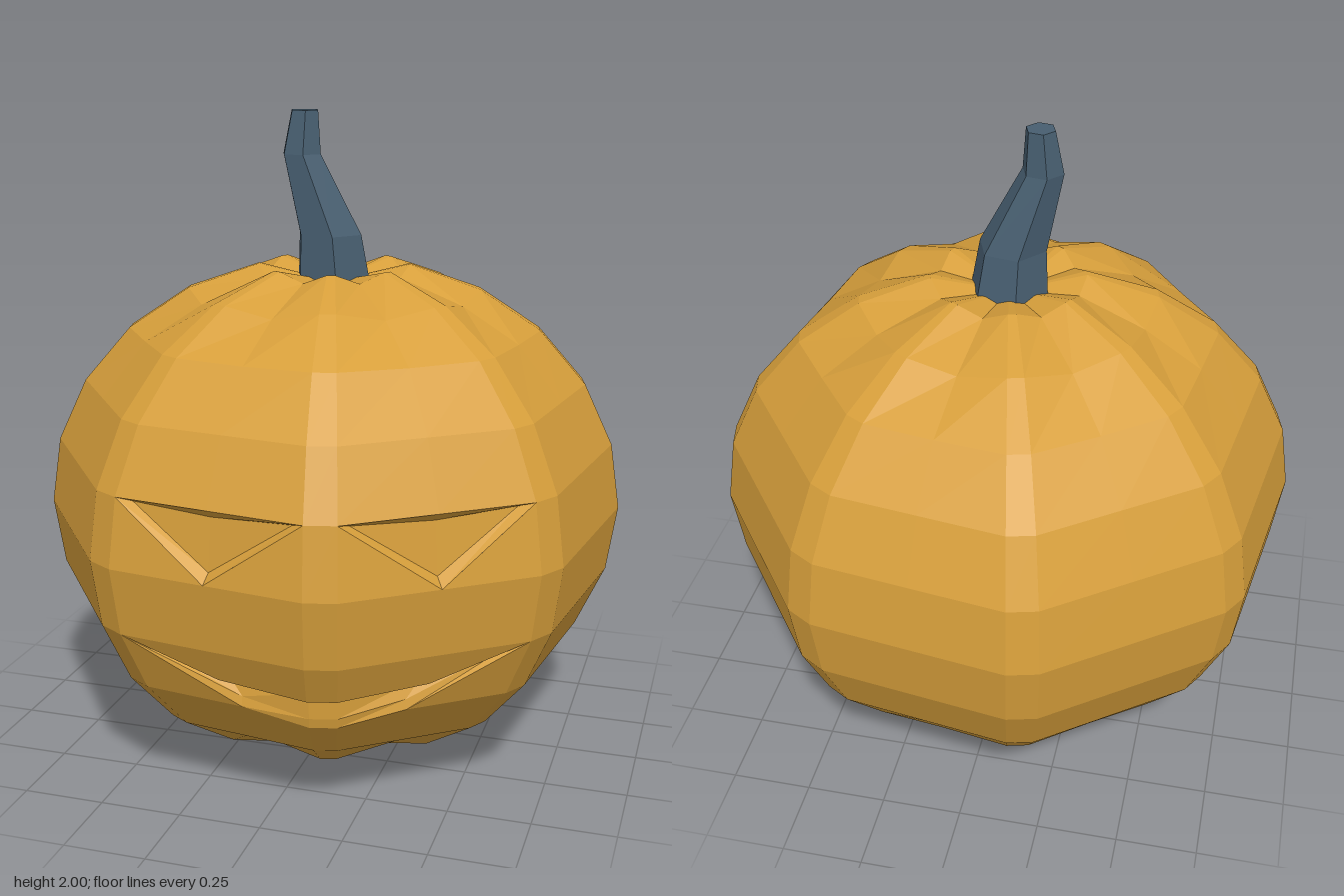
import * as THREE from 'three';

const rad = THREE.MathUtils.degToRad;
const lerp = THREE.MathUtils.lerp;

// body rings from bottom pole (0) to top pole (12): radius, height, dip of the valley between ribs
const RINGS = [
  [0, 0.055, 0], [0.234, 0, 0.03], [0.4525, 0.08, 0.028], [0.64, 0.205, 0.004],
  [0.784, 0.372, 0], [0.874, 0.564, 0], [0.905, 0.77, 0], [0.874, 0.976, 0],
  [0.784, 1.168, 0], [0.64, 1.335, -0.004], [0.4525, 1.46, -0.028], [0.234, 1.535, -0.03], [0, 1.48, 0],
];

// s counts rib edges around the body (even to odd = wide panel, odd to even = narrow rib),
// v counts rings upwards, k scales the point towards the axis
function point(s, v, k = 1) {
  const ring = Math.min(Math.floor(v), 11);
  const [r, y, dip] = RINGS[ring].map((n, i) => lerp(n, RINGS[ring + 1][i], v - ring));
  const i = Math.floor(s), f = s - i;
  const edge = (n) => {
    const a = rad(117.6 - 45 * Math.floor(n / 2) - (n % 2 ? 39 : 0));
    return new THREE.Vector3(r * k * Math.cos(a), y, r * k * Math.sin(a));
  };
  const p = edge(i).lerp(edge(i + 1), f);
  if (i % 2 === 0) p.y += dip * (1 - Math.abs(2 * f - 1));
  return p;
}

// collects flat polygons given as [s, v, k] corners, anticlockwise from outside
function polygonBuilder() {
  const positions = [];
  const add = (...corners) => {
    const p = corners.map((c) => point(...c));
    for (let i = 1; i < p.length - 1; i++) {
      const tri = new THREE.Triangle(p[0], p[i], p[i + 1]);
      if (tri.getArea() > 1e-7) for (const q of [p[0], p[i], p[i + 1]]) positions.push(q.x, q.y, q.z);
    }
  };
  const build = () => {
    const g = new THREE.BufferGeometry();
    g.setAttribute('position', new THREE.Float32BufferAttribute(positions, 3));
    g.computeVertexNormals();
    return g;
  };
  return { add, build };
}

function bodyGeometry() {
  const { add, build } = polygonBuilder();
  for (let s = 0; s < 16; s++) {
    const wide = s % 2 === 0;
    for (let v = 0; v < 12; v++) {
      const mouthCell = s < 3 && (v === 3 || v === 4);
      const eyeCell = (s === 0 || s === 2) && v === 6;
      if (mouthCell || eyeCell) continue;
      const cuts = wide ? [s, s + 0.5, s + 1] : [s, s + 1];
      for (let c = 0; c < cuts.length - 1; c++) {
        const a = cuts[c], b = cuts[c + 1];
        add([a, v], [b, v], [b, v + 1], [a, v + 1]);
      }
    }
  }
  // skin around the eyes
  for (const s of [0, 2]) {
    add([s, 6], [s + 0.5, 6], [s, 7]);
    add([s + 0.5, 6], [s + 1, 6], [s + 1, 7]);
  }
  // skin around the mouth, mirrored onto the second panel
  const skin = [
    [[1, 5], [0, 5], [0.5, 4.46], [1, 4.37]],
    [[0, 4], [0.6, 4], [0, 5]],
    [[0, 3], [1, 3], [1, 3.76], [0.6, 4], [0, 4]],
  ];
  for (const poly of skin) {
    add(...poly);
    add(...poly.map(([s, v]) => [3 - s, v]).reverse());
  }
  add([1, 4.37], [2, 4.37], [2, 5], [1, 5]);
  add([1, 3], [2, 3], [2, 3.76], [1, 3.76]);
  return build();
}

// recess between an upper and a lower rim, with sloping walls and a floor
function carving(upper, lower, upperIn, lowerIn) {
  const { add, build } = polygonBuilder();
  for (let i = 0; i < upper.length - 1; i++) {
    const j = i + 1;
    add(upper[j], upper[i], upperIn[i], upperIn[j]);
    add(lower[i], lower[j], lowerIn[j], lowerIn[i]);
    add(lowerIn[i], lowerIn[j], upperIn[j], upperIn[i]);
  }
  return build();
}

function eyeGeometry(s) {
  const left = [s + 0.06, 6.94, 0.968], right = [s + 0.94, 6.94, 0.968];
  return carving(
    [[s, 7], [s + 0.5, 7], [s + 0.9999, 7]],
    [[s, 7], [s + 0.5, 6], [s + 0.9999, 7]],
    [left, [s + 0.5, 6.88, 0.965], right],
    [left, [s + 0.5, 6.13, 0.965], right],
  );
}

function mouthGeometry() {
  const mirror = (half) => [...half, ...half.map(([s, v, k]) => [3 - s, v, k]).reverse()];
  const corner = [0.08, 4.9, 0.97];
  return carving(
    mirror([[0, 5], [0.5, 4.46], [1, 4.37]]),
    mirror([[0, 5], [0.6, 4], [1, 3.76]]),
    mirror([corner, [0.5, 4.45, 0.93], [1, 4.36, 0.93]]),
    mirror([corner, [0.6, 4.15, 0.975], [1, 3.94, 0.975]]),
  );
}

// bent, tapering six-sided stem
function stemGeometry() {
  const sections = [ // x, y, z, radius
    [0, 1.47, 0, 0.125], [-0.01, 1.63, 0.01, 0.106],
    [-0.095, 1.87, 0.025, 0.064], [-0.087, 2, 0.02, 0.045],
  ];
  const g = new THREE.CylinderGeometry(1, 1, 3, 6, 3, false, rad(20));
  const pos = g.attributes.position;
  for (let i = 0; i < pos.count; i++) {
    const [x, y, z, r] = sections[Math.round(pos.getY(i) + 1.5)];
    pos.setXYZ(i, x + pos.getX(i) * r, y, z + pos.getZ(i) * r);
  }
  g.computeVertexNormals();
  return g;
}

export function createModel() {
  const orange = new THREE.MeshStandardMaterial({ color: 0xd79f3b, flatShading: true });
  orange.name = 'pumpkin orange';
  const slate = new THREE.MeshStandardMaterial({ color: 0x475e70, flatShading: true });
  slate.name = 'stem slate';

  const group = new THREE.Group();
  group.name = 'carvedPumpkin';
  const part = (name, geometry, material) => {
    const mesh = new THREE.Mesh(geometry, material);
    mesh.name = name;
    group.add(mesh);
  };
  part('body', bodyGeometry(), orange);
  part('rightEye', eyeGeometry(0), orange);
  part('leftEye', eyeGeometry(2), orange);
  part('mouth', mouthGeometry(), orange);
  part('stem', stemGeometry(), slate);
  return group;
}
